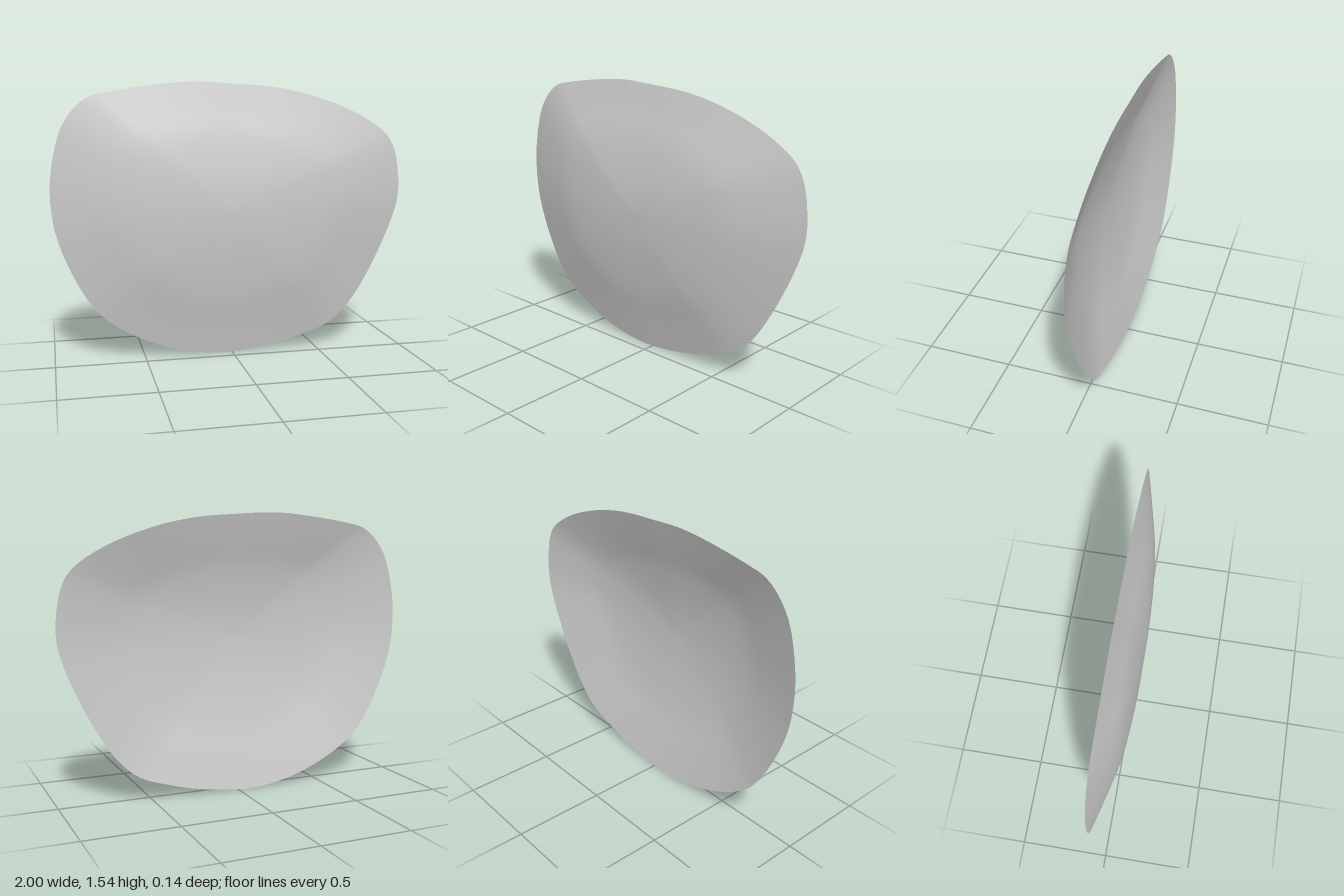
import * as THREE from 'three';

// Rim outline, anticlockwise seen from the front
const RIM = [
  [1, 0.93], [0.995, 1.02], [0.97, 1.15], [0.92, 1.24], [0.83, 1.31], [0.7, 1.38], [0.48, 1.46],
  [0.25, 1.51], [0, 1.53], [-0.22, 1.54], [-0.45, 1.52], [-0.68, 1.485], [-0.78, 1.46],
  [-0.86, 1.4], [-0.93, 1.3], [-0.98, 1.13], [-1, 0.95], [-0.98, 0.74], [-0.9, 0.51],
  [-0.78, 0.3], [-0.66, 0.19], [-0.45, 0.08], [-0.25, 0.02], [-0.04, 0], [0.22, 0.03],
  [0.42, 0.08], [0.58, 0.14], [0.7, 0.25], [0.8, 0.4], [0.91, 0.62], [0.985, 0.82],
];

// Depth from the centre to the rim, at even steps
const depthCurve = (depths) =>
  new THREE.SplineCurve(depths.map((z, i) => new THREE.Vector2(i / (depths.length - 1), z)));
const ACROSS = depthCurve([0.067, 0.064, 0.054, 0.032, -0.015, -0.068]);
const UPRIGHT = depthCurve([0.067, 0.058, 0.038, 0.01, -0.03, -0.068]);

const CENTRE = new THREE.Vector2(-0.03, 0.85);
const SEGMENTS = 93;
const RINGS = 20;

function shellGeometry() {
  const rim = new THREE.CatmullRomCurve3(
    RIM.map(([x, y]) => new THREE.Vector3(x, y, 0)), true, 'centripetal');
  const positions = [CENTRE.x, CENTRE.y, 0.067];
  const index = [];
  const at = (ring, seg) => 1 + (ring - 1) * SEGMENTS + (seg % SEGMENTS);

  // Scaled copies of the rim, pushed forward into a shallow dome
  for (let r = 1; r <= RINGS; r++) {
    const across = ACROSS.getPoint(r / RINGS);
    const upright = UPRIGHT.getPoint(r / RINGS);
    for (let s = 0; s < SEGMENTS; s++) {
      const p = rim.getPoint(s / SEGMENTS);
      const dx = p.x - CENTRE.x, dy = p.y - CENTRE.y;
      const sideways = (dx * dx) / (dx * dx + dy * dy);
      positions.push(
        CENTRE.x + dx * across.x,
        CENTRE.y + dy * across.x,
        THREE.MathUtils.lerp(upright.y, across.y, sideways));
      if (r === 1) index.push(0, at(1, s), at(1, s + 1));
      else index.push(
        at(r - 1, s), at(r, s), at(r, s + 1),
        at(r - 1, s), at(r, s + 1), at(r - 1, s + 1));
    }
  }
  const geometry = new THREE.BufferGeometry();
  geometry.setAttribute('position', new THREE.Float32BufferAttribute(positions, 3));
  geometry.setIndex(index);
  geometry.computeVertexNormals();
  return geometry;
}

export function createModel() {
  const group = new THREE.Group();
  group.name = 'curvedLens';
  // Thin open shell, hollow at the back
  const lens = new THREE.Mesh(shellGeometry(),
    new THREE.MeshStandardMaterial({ color: 0xcccccc, side: THREE.DoubleSide }));
  lens.name = 'lensShell';
  group.add(lens);
  return group;
}
